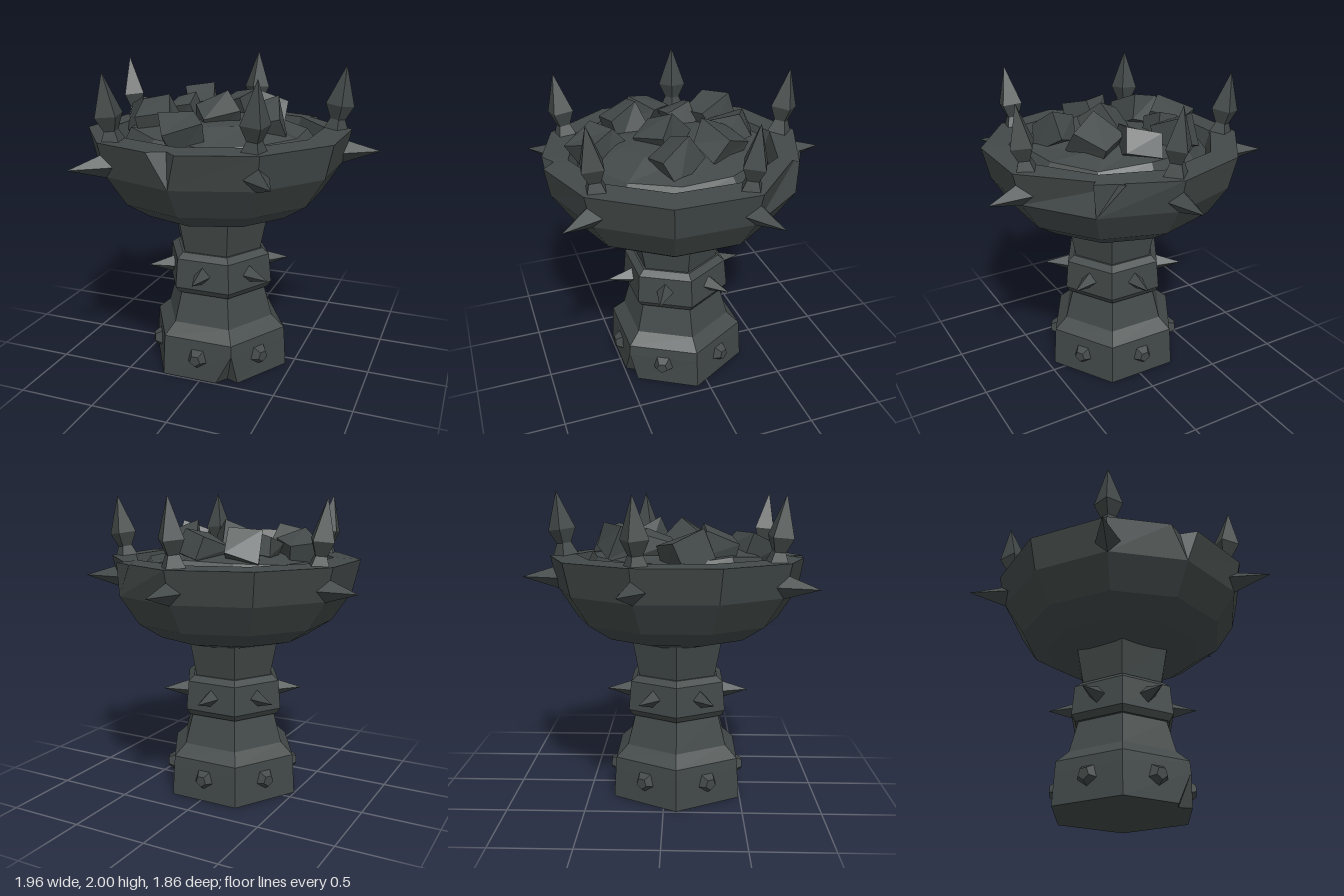
import * as THREE from 'three';

const CX = -0.02, CZ = 0.08;
const stone = new THREE.MeshStandardMaterial({ color: 0x424948 });
stone.name = 'dark stone';
stone.flatShading = true;

// Polygon ring around the axis; corners listed in chips become three points so they can be notched
function ring(n, offset, r, y, chips = {}) {
  const pts = [];
  for (let k = 0; k < n; k++) {
    const t = offset + (k / n) * Math.PI * 2;
    const p = [CX + r * Math.sin(t), y, CZ + r * Math.cos(t)];
    if (!(k in chips)) pts.push(p);
    else if (chips[k]) pts.push(...chips[k].map(([x, z]) => [x, y, z]));
    else pts.push(p, p, p);
  }
  return pts;
}

// Skin a stack of rings, with fans closing both ends
function loft(rings, topRise = 0) {
  const pos = [];
  const same = (a, b) => a.every((v, i) => Math.abs(v - b[i]) < 1e-6);
  const tri = (a, b, c) => {
    if (!same(a, b) && !same(b, c) && !same(a, c)) pos.push(...a, ...b, ...c);
  };
  const n = rings[0].length;
  const first = rings[0], last = rings[rings.length - 1];
  const low = [CX, first[0][1], CZ], high = [CX, last[0][1] + topRise, CZ];
  for (let i = 0; i < n; i++) {
    const j = (i + 1) % n;
    for (let s = 0; s < rings.length - 1; s++) {
      const a = rings[s], b = rings[s + 1];
      tri(a[i], a[j], b[j]);
      tri(a[i], b[j], b[i]);
    }
    tri(low, first[j], first[i]);
    tri(high, last[i], last[j]);
  }
  const g = new THREE.BufferGeometry();
  g.setAttribute('position', new THREE.Float32BufferAttribute(pos, 3));
  g.computeVertexNormals();
  return g;
}

function seeded(seed) {
  return () => {
    seed = (seed * 16807) % 2147483647;
    return seed / 2147483647;
  };
}

// Rough block: a box whose eight corners are pushed about
function rockGeometry(w, h, d, rand) {
  const g = new THREE.BoxGeometry(w, h, d).toNonIndexed();
  const push = Array.from({ length: 8 }, () => [0, 1, 2].map(() => 0.72 + 0.45 * rand()));
  const p = g.attributes.position;
  for (let i = 0; i < p.count; i++) {
    const c = (p.getX(i) > 0 ? 1 : 0) + (p.getY(i) > 0 ? 2 : 0) + (p.getZ(i) > 0 ? 4 : 0);
    const [a, b, e] = push[c];
    p.setXYZ(i, p.getX(i) * a, p.getY(i) * b, p.getZ(i) * e);
  }
  g.computeVertexNormals();
  return g;
}

export function createModel() {
  const model = new THREE.Group();
  const add = (name, geometry) => {
    const m = new THREE.Mesh(geometry, stone);
    m.name = name;
    model.add(m);
    return m;
  };
  // Place a part at angle t and radius r, its local +z pointing outward
  const around = (name, geometry, t, r, y, lean = 0) => {
    const m = add(name, geometry);
    m.position.set(CX + r * Math.sin(t), y, CZ + r * Math.cos(t));
    m.rotation.set(lean, t, 0, 'YXZ');
  };

  // Hexagonal pedestal with one broken foot corner
  const hex = Math.PI / 6;
  const foot = [[0.11, 0.49], [0.16, 0.41], [0.24, 0.44]];
  const pedestal = [[0.463, 0.2], [0.457, 0.27], [0.372, 0.345], [0.315, 0.545]]
    .map(([r, y]) => ring(6, hex, r, y, { 0: null }));
  add('pedestal', loft([ring(6, hex, 0.475, 0, { 0: foot }), ...pedestal]));

  // Collar and flared neck
  add('collar', loft([[0.335, 0.545], [0.363, 0.585], [0.345, 0.775], [0.3, 0.81]]
    .map(([r, y]) => ring(6, hex, r, y))));
  add('neck', loft([[0.283, 0.8], [0.335, 1.06]].map(([r, y]) => ring(6, hex, r, y))));

  // Studs on the foot and spikes on the collar, one per face
  const stud = new THREE.CylinderGeometry(0.038, 0.078, 0.06, 5).rotateX(Math.PI / 2);
  const collarSpike = new THREE.ConeGeometry(0.062, 0.19, 4).rotateX(Math.PI / 2);
  for (let k = 0; k < 6; k++) {
    const t = (k * Math.PI) / 3;
    around('stud', stud, t, 0.417, 0.15);
    around('collarSpike', collarSpike, t, 0.38, 0.68);
  }

  // Ten-sided bowl with two chipped rim corners
  const plain = { 0: null, 4: null };
  const chipped = {
    0: [[-0.14, 0.885], [-0.04, 0.83], [0.04, 0.905]],
    4: [[0.3, -0.65], [0.38, -0.605], [0.46, -0.56]],
  };
  const outer = [[0.3, 1.025], [0.51, 1.08], [0.665, 1.18], [0.79, 1.37]];
  const inner = [[0.665, 1.59], [0.63, 1.48]];
  add('bowl', loft([
    ...outer.map(([r, y]) => ring(10, 0, r, y, plain)),
    ring(10, 0, 0.84, 1.58, chipped),
    ...inner.map(([r, y]) => ring(10, 0, r, y, plain)),
  ]));

  // Five leaning finials on the rim and five spikes below them
  const finial = new THREE.LatheGeometry(
    [[0.085, 0], [0.048, 0.08], [0.09, 0.17], [0, 0.42]].map(([x, y]) => new THREE.Vector2(x, y)), 4);
  const bowlSpike = new THREE.ConeGeometry(0.087, 0.28, 4).rotateX(Math.PI / 2);
  for (let k = 0; k < 5; k++) {
    const t = Math.PI + (k * Math.PI * 2) / 5;
    around('rimFinial', finial, t, 0.735, k === 0 ? 1.584 : 1.565, 0.13);
    around('bowlSpike', bowlSpike, t, 0.89, 1.44);
  }

  // Uneven mound filling the bowl
  const rand = seeded(77);
  const mound = [[0.62, 1.5], [0.56, 1.59], [0.36, 1.63]].map(([r, y], s) =>
    ring(11, 0.2, r, y).map(([x, py, z]) => [x, py + (s ? (rand() - 0.5) * 0.05 : 0), z]));
  add('mound', loft(mound, 0.01));

  // Loose rocks: x, y, z, size, turn, tilt
  const rocks = [
    [-0.28, 1.67, -0.26, 0.23, 0.5, 0.35], [-0.01, 1.66, -0.29, 0.22, -0.3, 0.3],
    [0.22, 1.66, -0.14, 0.22, 0.6, -0.5], [0, 1.67, 0.17, 0.22, 0.8, 0.5],
    [0.33, 1.65, 0.18, 0.22, 0.4, 0.45], [-0.48, 1.63, 0.12, 0.23, 0.7, -0.3],
    [-0.34, 1.66, 0.31, 0.23, 0.2, 0.4], [-0.07, 1.62, 0.55, 0.23, 0.7, 0.4],
    [-0.3, 1.66, -0.05, 0.17, 0.1, 0.3],
  ];
  for (const [x, y, z, s, turn, tilt] of rocks) {
    const m = add('rock', rockGeometry(s, s * 0.85, s * 1.05, rand));
    m.position.set(x, y, z);
    m.rotation.set(tilt, turn, tilt * 0.6, 'YXZ');
  }
  return model;
}
